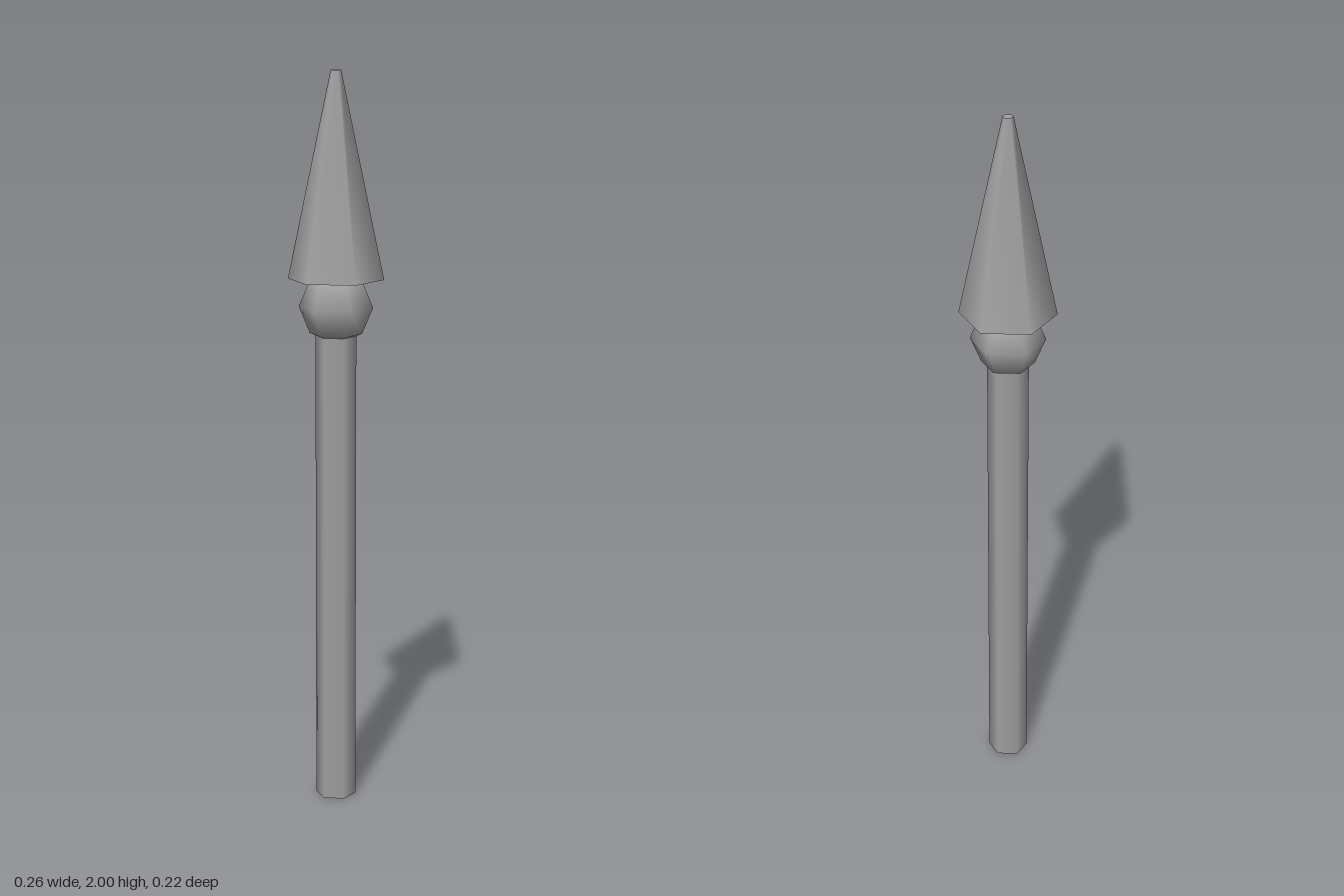
import * as THREE from 'three';

export function createModel() {
  const group = new THREE.Group();
  const grey = new THREE.MeshStandardMaterial({ color: 0xa0a0a0, side: THREE.DoubleSide });
  grey.name = 'plain grey';

  const SIDES = 6;
  const add = (name, geometry, y) => {
    const mesh = new THREE.Mesh(geometry, grey);
    mesh.name = name;
    mesh.position.y = y;
    group.add(mesh);
  };
  // Six-sided tapered prism with corners on the x axis
  const prism = (top, bottom, height, open = false) =>
    new THREE.CylinderGeometry(top, bottom, height, SIDES, 1, open, Math.PI / 2);

  // Post, running up through the collar into the hollow head
  add('shaft', prism(0.055, 0.055, 1.5), 0.75);

  // Faceted bead below the head
  add('collar', new THREE.SphereGeometry(0.1, SIDES, 4), 1.375);

  // Hollow pointed head, open underneath, with a small flat tip
  add('spearhead', prism(0.014, 0.129, 0.55, true), 1.725);
  const tip = new THREE.CircleGeometry(0.014, SIDES);
  tip.rotateX(-Math.PI / 2);
  add('tip', tip, 2);

  return group;
}
